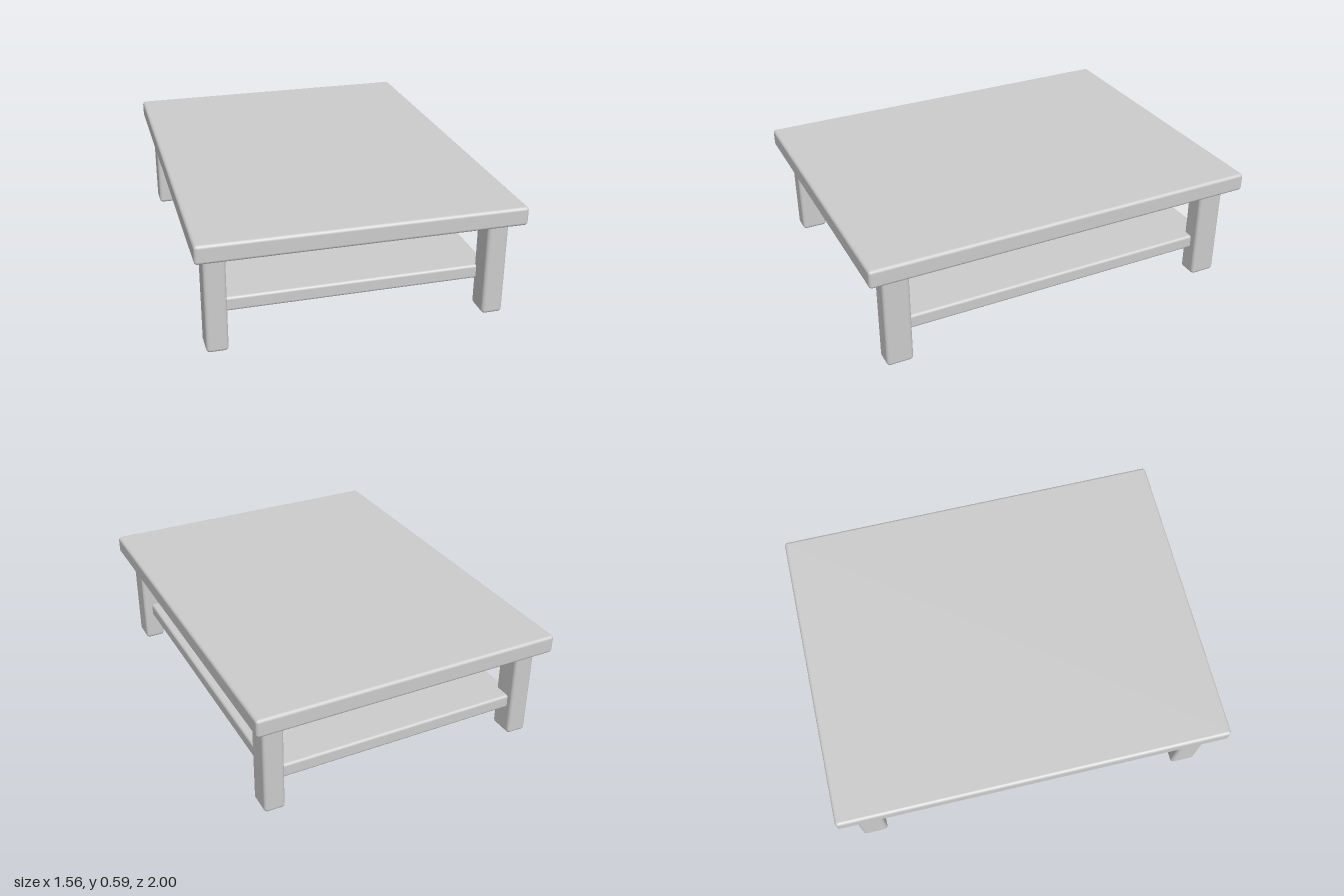
import * as THREE from 'three';
import { RoundedBoxGeometry } from 'three/addons/geometries/RoundedBoxGeometry.js';

const material = new THREE.MeshStandardMaterial({ color: 0xcccccc });

// Rounded box given by its lower and upper limits on each axis
function slab(name, [x0, x1], [y0, y1], [z0, z1], radius) {
  const geometry = new RoundedBoxGeometry(x1 - x0, y1 - y0, z1 - z0, 3, radius);
  const mesh = new THREE.Mesh(geometry, material);
  mesh.name = name;
  mesh.position.set((x0 + x1) / 2, (y0 + y1) / 2, (z0 + z1) / 2);
  return mesh;
}

export function createModel() {
  const table = new THREE.Group();
  table.name = 'coffeeTable';

  // Table top
  table.add(slab('tableTop', [-0.778, 0.778], [0.495, 0.587], [-1, 1], 0.016));

  // Lower shelf, let into the legs and set slightly towards the back
  table.add(slab('shelf', [-0.665, 0.675], [0.145, 0.217], [-0.89, 0.82], 0.014));

  // Four legs, running up to the top
  const sides = { Right: [-0.733, -0.629], Left: [0.617, 0.721] };
  const ends = { front: [0.793, 0.925], back: [-0.925, -0.793] };
  for (const [end, z] of Object.entries(ends)) {
    for (const [side, x] of Object.entries(sides)) {
      table.add(slab(`${end}${side}Leg`, x, [0, 0.52], z, 0.018));
    }
  }

  return table;
}
